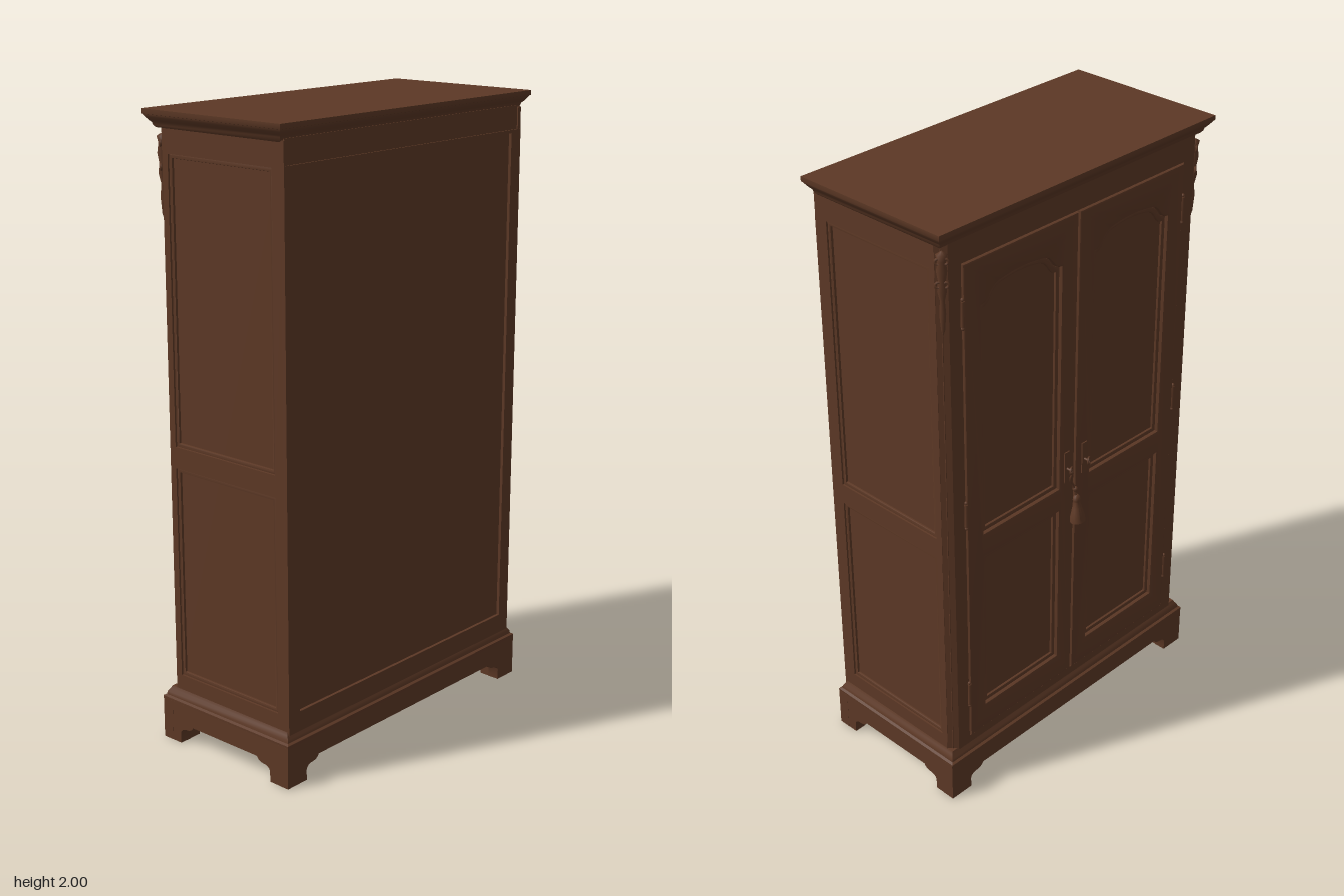
import * as THREE from 'three';
import { toCreasedNormals } from 'three/addons/utils/BufferGeometryUtils.js';

const wood = new THREE.MeshStandardMaterial({ color: 0x5c3825 });
wood.name = 'brown wood';

const FRONT = -0.24, BACK = 0.272, SIDE = 0.547; // carcass limits (doors face -z)

function add(parent, name, geo, x = 0, y = 0, z = 0) {
  const mesh = new THREE.Mesh(geo, wood);
  mesh.name = name;
  mesh.position.set(x, y, z);
  parent.add(mesh);
  return mesh;
}

function box(parent, name, x0, x1, y0, y1, z0, z1) {
  return add(parent, name, new THREE.BoxGeometry(x1 - x0, y1 - y0, z1 - z0),
    (x0 + x1) / 2, (y0 + y1) / 2, (z0 + z1) / 2);
}

const poly = (pts) => new THREE.Shape(pts.map(([x, y]) => new THREE.Vector2(x, y)));
const rect = (x0, y0, x1, y1) => poly([[x0, y0], [x1, y0], [x1, y1], [x0, y1]]);

// Board with cut-outs; an edge value slopes its rear rim (z = 0 side and z = depth side)
function board(shape, holes, depth, edge = 0) {
  shape.holes.push(...holes);
  const geo = new THREE.ExtrudeGeometry(shape, edge
    ? { depth: depth - 2 * edge, bevelEnabled: true, bevelSize: edge, bevelThickness: edge,
        bevelOffset: -edge, bevelSegments: 2, curveSegments: 10 }
    : { depth, bevelEnabled: false, curveSegments: 10 });
  if (edge) geo.translate(0, 0, edge);
  return toCreasedNormals(geo, 0.6);
}

// Moulding that runs round a rectangle: profile of [half width, y, z front, z back]
function moulding(profile) {
  const pos = [], idx = [], n = profile.length;
  for (const [w, y, f, b] of profile) pos.push(-w, y, b, w, y, b, w, y, f, -w, y, f);
  for (let i = 0; i < n - 1; i++) {
    for (let k = 0; k < 4; k++) {
      const a = i * 4 + k, c = i * 4 + (k + 1) % 4;
      idx.push(a, c, c + 4, a, c + 4, a + 4);
    }
  }
  const t = (n - 1) * 4;
  idx.push(0, 2, 1, 0, 3, 2, t, t + 1, t + 2, t, t + 2, t + 3);
  const geo = new THREE.BufferGeometry();
  geo.setAttribute('position', new THREE.Float32BufferAttribute(pos, 3));
  geo.setIndex(idx);
  return toCreasedNormals(geo, 0.6);
}

// Door panel outline with an arched, shouldered top
function archPanel(w, y0, y1, rise, inset = 0) {
  const h = w - inset, b = y0 + inset, s = y1 - inset, t = y1 + rise - inset;
  const p = new THREE.Shape();
  p.moveTo(-h, b);
  p.lineTo(h, b);
  p.lineTo(h, s);
  p.bezierCurveTo(h * 0.78, s, h * 0.8, t - 0.01, h * 0.5, t - 0.006);
  p.quadraticCurveTo(0, t + 0.008, -h * 0.5, t - 0.006);
  p.bezierCurveTo(-h * 0.8, t - 0.01, -h * 0.78, s, -h, s);
  return p;
}

// Apron board with bracket feet cut into its lower edge
function apron(half, foot) {
  const p = new THREE.Shape();
  p.moveTo(-half, 0);
  p.lineTo(-half + foot, 0);
  p.lineTo(-half + foot, 0.035);
  p.quadraticCurveTo(-half + foot + 0.005, 0.052, -half + foot + 0.03, 0.052);
  p.quadraticCurveTo(-half + foot + 0.05, 0.055, -half + foot + 0.055, 0.068);
  p.lineTo(half - foot - 0.055, 0.068);
  p.quadraticCurveTo(half - foot - 0.05, 0.055, half - foot - 0.03, 0.052);
  p.quadraticCurveTo(half - foot - 0.005, 0.052, half - foot, 0.035);
  p.lineTo(half - foot, 0);
  p.lineTo(half, 0);
  p.lineTo(half, 0.135);
  p.lineTo(-half, 0.135);
  return p;
}

function buildDoor(side) {
  const door = new THREE.Group();
  door.name = side > 0 ? 'leftDoor' : 'rightDoor';
  const half = 0.233, w = 0.165;
  add(door, 'doorFrame', board(rect(-half, 0.2, half, 1.87),
    [archPanel(w, 0.95, 1.72, 0.06), rect(-w, 0.29, w, 0.865)], 0.026, 0.007), 0, 0, -0.246);
  // beads round the panels
  add(door, 'upperBead', board(archPanel(w, 0.95, 1.72, 0.06),
    [archPanel(w, 0.95, 1.72, 0.06, 0.016)], 0.014, 0.005), 0, 0, -0.236);
  add(door, 'lowerBead', board(rect(-w, 0.29, w, 0.865),
    [rect(-w + 0.016, 0.306, w - 0.016, 0.849)], 0.014, 0.005), 0, 0, -0.236);
  // hinges on the outer edge
  for (const y of [0.37, 1.05, 1.72]) {
    add(door, 'hinge', new THREE.CylinderGeometry(0.006, 0.006, 0.08, 10), side * (half + 0.003), y, -0.243);
    for (const e of [-0.045, 0.045])
      add(door, 'hingeTip', new THREE.SphereGeometry(0.006, 8, 6), side * (half + 0.003), y + e, -0.243);
  }
  // keyhole plate and key
  const kx = -side * 0.196;
  box(door, 'keyPlate', kx - 0.011, kx + 0.011, 0.965, 1.075, -0.25, -0.244);
  const shaft = add(door, 'keyShaft', new THREE.CylinderGeometry(0.004, 0.004, 0.024, 8), kx, 1.015, -0.256);
  shaft.rotation.x = Math.PI / 2;
  const bow = add(door, 'keyBow', new THREE.TorusGeometry(0.011, 0.0035, 6, 14), kx, 1.015, -0.267);
  bow.rotation.y = 0.5;
  door.position.x = side * 0.236;
  return door;
}

export function createModel() {
  const model = new THREE.Group();
  model.name = 'wardrobe';

  // Carcass core; its faces form the recessed panels
  box(model, 'carcass', -0.535, 0.535, 0.1, 1.96, -0.228, 0.262);

  // Plain rear frame
  add(model, 'rearFrame', board(rect(-SIDE, 0.165, SIDE, 1.88), [rect(-0.5, 0.23, 0.5, 1.87)], 0.012), 0, 0, BACK - 0.012);

  // Side frames with two panels each
  for (const s of [-1, 1]) {
    const group = new THREE.Group();
    group.name = s > 0 ? 'leftSide' : 'rightSide';
    model.add(group);
    const panels = [[0.225, 0.912], [0.98, 1.872]];
    const frame = board(rect(-0.215, 0.165, BACK - 0.001, 1.95), panels.map(([a, b]) => rect(-0.192, a, 0.225, b)), 0.014);
    add(group, 'sideFrame', frame.rotateY(-Math.PI / 2), s > 0 ? SIDE : -SIDE + 0.014);
    for (const [a, b] of panels) {
      const bead = board(rect(-0.192, a, 0.225, b), [rect(-0.179, a + 0.013, 0.212, b - 0.013)], 0.012, 0.004);
      add(group, 'sideBead', bead.rotateY(-Math.PI / 2), s > 0 ? SIDE - 0.004 : -SIDE + 0.016);
    }

    // Chamfered corner post beside the door
    const post = board(poly([[s * SIDE, 0.214], [s * 0.52, 0.24], [s * 0.472, 0.24], [s * 0.472, 0.2], [s * SIDE, 0.2]]), [], 1.785);
    add(group, 'cornerPost', post.rotateX(-Math.PI / 2), 0, 0.165, 0);

    // Carved drop at the top of the post
    const drop = new THREE.Group();
    drop.name = 'carvedDrop';
    drop.position.set(s * 0.532, 0, -0.228);
    drop.rotation.y = s * -Math.PI / 4;
    group.add(drop);
    const tail = new THREE.LatheGeometry([[0, 1.67], [0.006, 1.69], [0.01, 1.74], [0.007, 1.78], [0.014, 1.81],
      [0.011, 1.84], [0.016, 1.87], [0.012, 1.9], [0.017, 1.92], [0, 1.93]].map(([r, y]) => new THREE.Vector2(r, y)), 10);
    add(drop, 'dropTail', tail);
    for (const y of [1.83, 1.9]) for (const e of [-1, 1]) {
      add(drop, 'dropScroll', new THREE.TorusGeometry(0.008, 0.004, 6, 12), e * 0.01, y, -0.006);
    }
    model.add(buildDoor(s));
  }

  // Rails above and below the doors
  box(model, 'topRail', -0.475, 0.475, 1.873, 1.955, -0.24, -0.22);
  box(model, 'bottomRail', -0.475, 0.475, 0.165, 0.197, -0.24, -0.22);
  box(model, 'rearFrieze', -0.54, 0.54, 1.88, 1.955, 0.25, 0.267);

  // Cornice
  const corniceSteps = [[0, 1.945], [0.006, 1.952], [0.008, 1.96], [0.014, 1.966], [0.022, 1.976], [0.027, 1.984], [0.03, 1.985], [0.03, 2]];
  add(model, 'cornice', moulding(corniceSteps.map(([d, y]) =>
    [SIDE + d, y, -0.238 - d, 0.257 + d])));

  // Plinth moulding
  const plinthSteps = [[0.02, 0.13], [0.021, 0.142], [0.013, 0.146], [0.011, 0.156], [0.004, 0.166], [0, 0.175]];
  add(model, 'plinthMoulding', moulding(plinthSteps.map(([d, y]) =>
    [SIDE + d, y, -0.237 - d, 0.265 + d])));

  // Aprons with bracket feet
  const W = 0.568, F = -0.256, B = 0.285, T = 0.04;
  add(model, 'doorSideApron', board(apron(W, 0.083), [], T), 0, 0, F);
  add(model, 'rearApron', board(apron(W, 0.083), [], T), 0, 0, B - T);
  for (const s of [-1, 1]) {
    const geo = board(apron((B - F) / 2, 0.075), [], T).rotateY(-Math.PI / 2);
    add(model, 'sideApron', geo, s > 0 ? W - 0.0005 : -W + T + 0.0005, 0, (B + F) / 2);
    for (const z of [F + 0.038, B - 0.038])
      add(model, 'foot', new THREE.BoxGeometry(0.08, 0.1, 0.072), s * (W - 0.042), 0.0505, z);
  }

  // Tassel hanging from a key
  const tassel = new THREE.Group();
  tassel.name = 'tassel';
  model.add(tassel);
  const cord = new THREE.CatmullRomCurve3([[0.035, 1.005, -0.268], [0.03, 0.97, -0.255], [0.012, 0.94, -0.252], [0.004, 0.9, -0.256]]
    .map((p) => new THREE.Vector3(...p)));
  add(tassel, 'cord', new THREE.TubeGeometry(cord, 16, 0.004, 6));
  const bell = new THREE.LatheGeometry([[0, 0], [0.027, 0], [0.025, 0.02], [0.017, 0.05], [0.011, 0.07], [0.014, 0.078],
    [0.012, 0.088], [0.005, 0.096], [0, 0.098]].map(([r, y]) => new THREE.Vector2(r, y)), 16);
  const skirt = add(tassel, 'tasselSkirt', toCreasedNormals(bell, 0.7), 0.002, 0.808, -0.264);
  skirt.scale.z = 0.85;
  skirt.rotation.x = 0.08;
  add(tassel, 'tasselKnot', new THREE.SphereGeometry(0.009, 10, 8), 0.005, 0.925, -0.253);

  return model;
}
